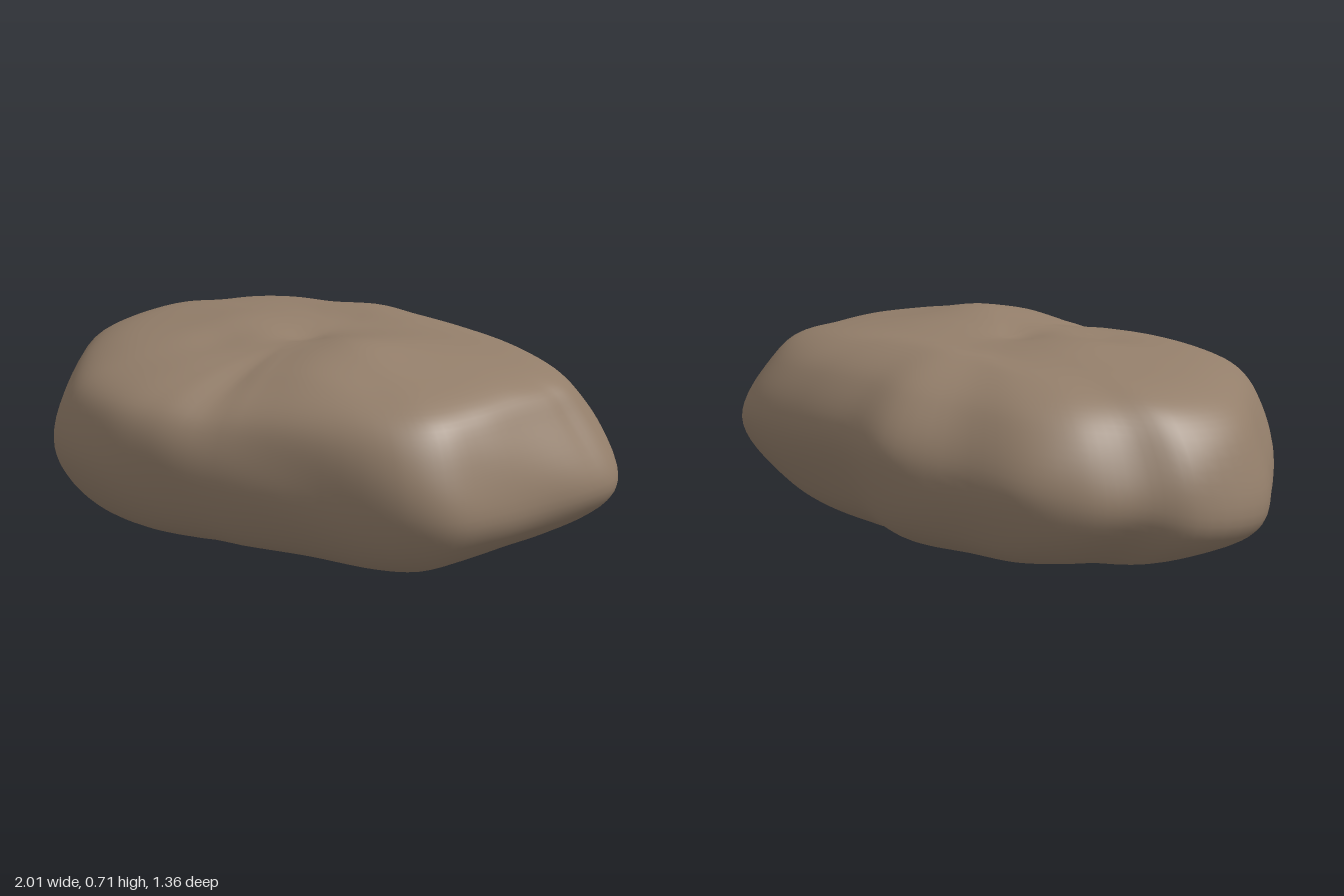
import * as THREE from 'three';
import { mergeVertices } from 'three/addons/utils/BufferGeometryUtils.js';

// Ribs around the boulder, counterclockwise from the right:
// [rim x, rim z, rim height, top edge fraction, top edge height, base fraction]
const RIBS = [
  [1.0, -0.13, 0.26, 0.74, 0.61, 0.55], [0.92, -0.29, 0.3, 0.7, 0.62, 0.55],
  [0.70, -0.46, 0.36, 0.62, 0.64, 0.55], [0.46, -0.54, 0.38, 0.56, 0.66, 0.52],
  [0.2, -0.60, 0.4, 0.53, 0.67, 0.5], [-0.03, -0.685, 0.4, 0.5, 0.67, 0.48],
  [-0.28, -0.635, 0.37, 0.54, 0.66, 0.5], [-0.52, -0.61, 0.34, 0.6, 0.65, 0.5],
  [-0.68, -0.52, 0.31, 0.66, 0.64, 0.5], [-0.8, -0.39, 0.28, 0.7, 0.63, 0.52],
  [-0.93, -0.27, 0.24, 0.74, 0.62, 0.55], [-1.0, 0.0, 0.2, 0.75, 0.61, 0.55],
  [-0.92, 0.22, 0.2, 0.77, 0.61, 0.55], [-0.82, 0.4, 0.23, 0.76, 0.61, 0.55],
  [-0.68, 0.57, 0.28, 0.74, 0.61, 0.55], [-0.45, 0.67, 0.32, 0.69, 0.62, 0.52],
  [-0.26, 0.675, 0.33, 0.68, 0.62, 0.5], [-0.04, 0.645, 0.29, 0.68, 0.62, 0.5],
  [0.25, 0.615, 0.31, 0.72, 0.635, 0.52], [0.56, 0.585, 0.29, 0.76, 0.62, 0.55],
  [0.7, 0.51, 0.27, 0.78, 0.62, 0.58], [0.79, 0.36, 0.26, 0.79, 0.62, 0.58],
  [0.88, 0.17, 0.25, 0.78, 0.62, 0.56], [0.96, 0.0, 0.25, 0.76, 0.61, 0.55],
];

// How far the shoulder and the underside bulge towards the rim, rib by rib
const SHOULDER = [
  0.56, 0.58, 0.62, 0.64, 0.64, 0.64, 0.64, 0.64, 0.66, 0.68, 0.7, 0.72,
  0.74, 0.76, 0.78, 0.82, 0.84, 0.83, 0.82, 0.78, 0.72, 0.66, 0.6, 0.57,
];
const UNDERSIDE = [
  0.62, 0.62, 0.64, 0.67, 0.72, 0.76, 0.76, 0.74, 0.7, 0.66, 0.64, 0.62,
  0.64, 0.66, 0.7, 0.72, 0.72, 0.7, 0.7, 0.68, 0.66, 0.64, 0.62, 0.62,
];

// Gentle swells and hollows on the top: [x, z, radius, height]
const SWELLS = [
  [0.2, 0.2, 0.2, 0.045], [0.4, 0.05, 0.25, 0.015], [-0.3, 0.02, 0.2, 0.018],
  [-0.04, 0.06, 0.08, -0.018], [-0.28, 0.2, 0.1, -0.012],
];

const mix = THREE.MathUtils.lerp;
const SIDES = 120, ROWS = 64;

function boulderGeometry() {
  const loop = (f) => new THREE.CatmullRomCurve3(RIBS.map((r, i) => new THREE.Vector3(...f(r, i))), true);
  const rim = loop((r) => [r[0], r[2], r[1]]);
  const edge = loop((r) => [r[3], r[4], r[5]]);
  const bulge = loop((r, i) => [SHOULDER[i], UNDERSIDE[i], i]);
  const columns = [];

  // One smooth profile per direction, from the top centre to the base centre
  for (let c = 0; c < SIDES; c++) {
    const [p, e, b] = [rim, edge, bulge].map((curve) => curve.getPoint(c / SIDES));
    const profile = new THREE.SplineCurve([
      [0, 0.655], [e.x * 0.5, 0.655], [e.x, e.y],
      [mix(e.x, 1, b.x), mix(e.y, p.y, 0.32)], [1, p.y],
      [mix(e.z, 1, b.y), p.y * 0.36], [e.z, 0.012], [e.z * 0.5, 0.004], [0, 0.004],
    ].map(([f, y]) => new THREE.Vector2(f, y)));
    columns.push(profile.getPoints(ROWS).map((q) => {
      const x = p.x * q.x, z = p.z * q.x;
      const onTop = THREE.MathUtils.smoothstep(q.y, 0.45, 0.62);
      const onSide = THREE.MathUtils.smoothstep(q.x, 0.5, 0.9) * Math.sin(Math.PI * THREE.MathUtils.clamp(q.y / 0.65, 0, 1));
      let y = q.y;
      for (const [sx, sz, r, h] of SWELLS) {
        y += onTop * h * Math.exp(-((x - sx) ** 2 + (z - sz) ** 2) / (r * r));
      }
      // Weathered lumps on the flanks
      const k = 1 + onSide * 0.008 * Math.sin(9 * x + 7 * y) * Math.cos(8 * z - 11 * y);
      return [x * k, Math.max(0, y), z * k];
    }));
  }

  // Skin between neighbouring profiles, with single triangles at both centres
  const positions = [], index = [];
  for (let r = 0; r <= ROWS; r++) {
    for (let c = 0; c < SIDES; c++) {
      positions.push(...columns[c][r]);
      if (r === ROWS) continue;
      const a = r * SIDES + c, d = r * SIDES + (c + 1) % SIDES;
      if (r < ROWS - 1) index.push(a, a + SIDES, d + SIDES);
      if (r > 0) index.push(a, r < ROWS - 1 ? d + SIDES : a + SIDES, d);
    }
  }
  const geometry = new THREE.BufferGeometry();
  geometry.setAttribute('position', new THREE.Float32BufferAttribute(positions, 3));
  geometry.setIndex(index);
  const merged = mergeVertices(geometry, 1e-4);
  merged.computeVertexNormals();
  return merged;
}

export function createModel() {
  const stone = new THREE.MeshStandardMaterial({ color: 0x937e6a });
  stone.name = 'brown stone';
  const boulder = new THREE.Mesh(boulderGeometry(), stone);
  boulder.name = 'boulder';
  const group = new THREE.Group();
  group.name = 'rock';
  group.add(boulder);
  return group;
}
